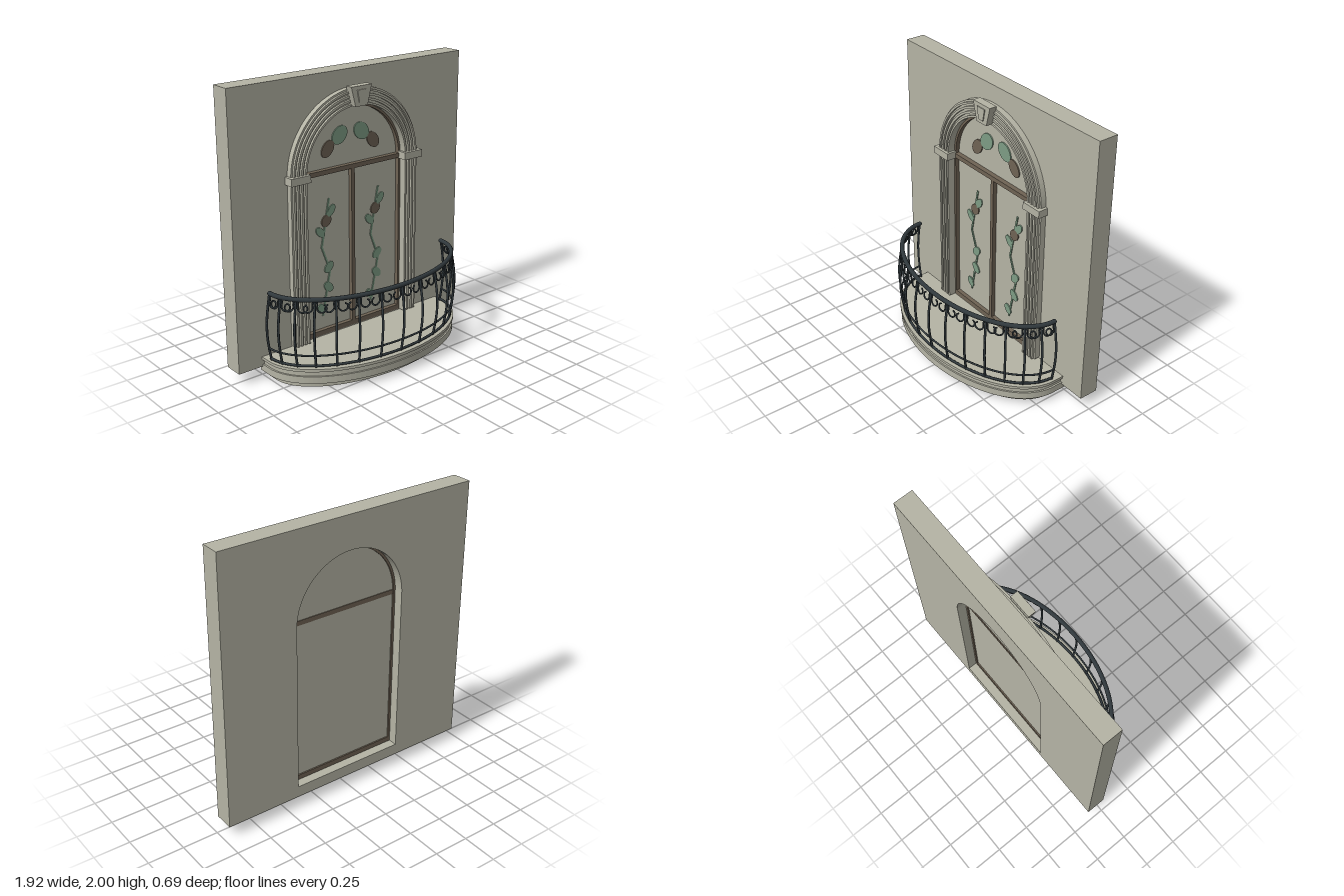
import * as THREE from 'three';

const mat = (name, color) => {
  const m = new THREE.MeshStandardMaterial({ color });
  m.name = name;
  return m;
};

export function createModel() {
  const stone = mat('stone', 0xb5b4a5);
  const wood = mat('wood', 0x6f6354);
  const leafGreen = mat('leaf green', 0x7d9c84);
  const iron = mat('wrought iron', 0x30383c);

  const model = new THREE.Group();
  model.name = 'balconyWindow';
  const group = (name) => {
    const g = new THREE.Group();
    g.name = name;
    model.add(g);
    return g;
  };
  const add = (parent, name, geo, material, x = 0, y = 0, z = 0) => {
    const m = new THREE.Mesh(geo, material);
    m.name = name;
    m.position.set(x, y, z);
    parent.add(m);
    return m;
  };
  const extrude = (shape, depth) =>
    new THREE.ExtrudeGeometry(shape, { depth, bevelEnabled: false, curveSegments: 32 });
  // Box given by its two extreme corners
  const box = (parent, name, material, x0, x1, y0, y1, z0, z1) =>
    add(parent, name, new THREE.BoxGeometry(x1 - x0, y1 - y0, z1 - z0), material,
      (x0 + x1) / 2, (y0 + y1) / 2, (z0 + z1) / 2);

  const BACK = -0.345, SPRING = 1.345, SILL = 0.165;

  // Round-topped outline, and an upside-down U band between two radii
  const arch = (r, path = new THREE.Shape()) => {
    path.moveTo(-r, SILL);
    path.lineTo(r, SILL);
    path.lineTo(r, SPRING);
    path.absarc(0, SPRING, r, 0, Math.PI, false);
    path.lineTo(-r, SILL);
    return path;
  };
  const band = (r0, r1) => {
    const s = new THREE.Shape();
    s.moveTo(r0, SILL);
    s.lineTo(r1, SILL);
    s.lineTo(r1, SPRING);
    s.absarc(0, SPRING, r1, 0, Math.PI, false);
    s.lineTo(-r1, SILL);
    s.lineTo(-r0, SILL);
    s.lineTo(-r0, SPRING);
    s.absarc(0, SPRING, r0, Math.PI, 0, true);
    s.lineTo(r0, SILL);
    return s;
  };

  // Wall with arched opening
  const wallShape = new THREE.Shape();
  wallShape.moveTo(-0.96, 0.085);
  wallShape.lineTo(0.96, 0.085);
  wallShape.lineTo(0.96, 2);
  wallShape.lineTo(-0.96, 2);
  wallShape.closePath();
  wallShape.holes.push(arch(0.535, new THREE.Path()));
  add(model, 'wall', extrude(wallShape, 0.14), stone, 0, 0, BACK);

  // Reeded casing: a deep band with alternating ridges on its face
  const casing = group('casing');
  add(casing, 'casingBody', extrude(band(0.418, 0.535), 0.18), stone, 0, 0, BACK);
  [[0.418, 0.432], [0.447, 0.463], [0.478, 0.494], [0.508, 0.522]].forEach(([r0, r1]) =>
    add(casing, 'casingReed', extrude(band(r0, r1), 0.017), stone, 0, 0, -0.165));
  for (const s of [-1, 1]) {
    const block = box(casing, 'impost', stone, -0.0775, 0.0775, 1.315, 1.367, -0.2, -0.128);
    block.position.x = s * 0.4775;
  }

  // Keystone with a raised panel
  const wedge = (bottom, top, y0, y1) => new THREE.Shape([
    new THREE.Vector2(-bottom, y0), new THREE.Vector2(bottom, y0),
    new THREE.Vector2(top, y1), new THREE.Vector2(-top, y1)]);
  add(casing, 'keystone', extrude(wedge(0.05, 0.085, 1.765, 1.9), 0.055), stone, 0, 0, -0.16);
  add(casing, 'keystonePanel', extrude(wedge(0.022, 0.038, 1.79, 1.875), 0.007), stone, 0, 0, -0.105);

  // Window: pane, frame, transom and mullion
  const win = group('window');
  add(win, 'pane', extrude(arch(0.41), 0.04), stone, 0, 0, -0.27);
  add(win, 'frame', extrude(band(0.402, 0.42), 0.08), wood, 0, 0, -0.28);
  box(win, 'transom', wood, -0.405, 0.405, 1.32, 1.352, -0.275, -0.195);
  box(win, 'mullion', wood, -0.014, 0.014, 0.18, 1.325, -0.24, -0.2);
  box(win, 'bottomRail', wood, -0.42, 0.42, SILL, 0.2, -0.28, -0.2);

  // Painted sprigs on the pane
  const PANE = -0.23;
  const leaf = (parent, material, x, y, rx, ry, angle) => {
    const s = new THREE.Shape();
    s.absellipse(0, 0, rx, ry, 0, Math.PI * 2, false, 0);
    add(parent, 'leaf', extrude(s, 0.008), material, x, y, PANE).rotation.z = angle;
  };
  const fan = group('fanlightLeaves');
  for (const s of [-1, 1]) {
    leaf(fan, leafGreen, s * 0.092, 1.56, 0.07, 0.055, -s * 0.75);
    leaf(fan, wood, s * 0.192, 1.482, 0.064, 0.044, -s * 0.9);
  }
  const stem = [[-0.187, 1.135], [-0.252, 0.8], [-0.185, 0.62], [-0.25, 0.3]];
  for (const dx of [0, 0.425]) {
    const sprig = group('sprig');
    sprig.position.x = dx;
    for (let i = 0; i < 3; i++) {
      const [x0, y0] = stem[i], [x1, y1] = stem[i + 1];
      const len = Math.hypot(x1 - x0, y1 - y0);
      add(sprig, 'stem', new THREE.BoxGeometry(0.013, len + 0.01, 0.008), leafGreen,
        (x0 + x1) / 2, (y0 + y1) / 2, PANE + 0.003).rotation.z = Math.atan2(x0 - x1, y1 - y0) + Math.PI;
    }
    leaf(sprig, leafGreen, -0.17, 1.05, 0.046, 0.026, 0.95);
    leaf(sprig, wood, -0.212, 0.985, 0.044, 0.038, 0.9);
    leaf(sprig, leafGreen, -0.263, 0.912, 0.046, 0.027, -0.85);
    leaf(sprig, leafGreen, -0.195, 0.645, 0.045, 0.03, 0.8);
    leaf(sprig, leafGreen, -0.2, 0.5, 0.045, 0.03, -0.8);
    leaf(sprig, leafGreen, -0.26, 0.35, 0.04, 0.028, -0.9);
  }

  // Half-elliptical stone balcony in stacked tiers
  const CZ = -0.125;
  const balcony = group('balconySlab');
  const tier = (name, rx, front, back, y0, y1) => {
    const s = new THREE.Shape();
    s.moveTo(-rx, back);
    s.lineTo(rx, back);
    s.lineTo(rx, CZ);
    s.absellipse(0, CZ, rx, front - CZ, 0, Math.PI, false, 0);
    s.lineTo(-rx, back);
    add(balcony, name, extrude(s, y1 - y0), stone, 0, y1, 0).rotation.x = Math.PI / 2;
  };
  tier('baseTier', 0.722, 0.275, -0.235, 0, 0.05);
  tier('lowerTier', 0.772, 0.335, -0.235, 0.05, 0.085);
  tier('lowerTierTop', 0.772, 0.335, -0.205, 0.085, 0.1);
  tier('middleTier', 0.76, 0.325, -0.205, 0.1, 0.137);
  tier('topTier', 0.778, 0.342, -0.205, 0.137, 0.157);

  // Railing: points lie on an ellipse, pushed outward by d
  const railing = group('railing');
  const at = (t, y, d = 0) =>
    new THREE.Vector3((0.755 + d) * Math.sin(t), y, CZ + (0.437 + d) * Math.cos(t));
  const tube = (name, pts, segs, r, sides) => {
    add(railing, name, new THREE.TubeGeometry(new THREE.CatmullRomCurve3(pts), segs, r, sides), iron);
    for (const p of [pts[0], pts[pts.length - 1]])
      add(railing, name + 'End', new THREE.SphereGeometry(r, sides, 6), iron, p.x, p.y, p.z);
  };
  const sweep = (y, d) => Array.from({ length: 41 }, (_, i) => at((i / 40 - 0.5) * Math.PI, y, d));
  tube('handrail', sweep(0.638, -0.003), 96, 0.016, 10);
  tube('bottomRail', sweep(0.172, 0.002), 96, 0.009, 8);
  tube('lowerRail', sweep(0.25, 0.014), 96, 0.007, 8);

  // Bellied balusters, each flanked by curled scrolls
  const N = 14, STEP = Math.PI / N;
  const bulge = (y) => 0.028 * Math.sin(Math.PI * THREE.MathUtils.clamp((y - 0.165) / 0.46, 0, 1));
  for (let i = 0; i <= N; i++) {
    const t = (i - N / 2) * STEP;
    const ys = [0.165, 0.24, 0.32, 0.4, 0.48, 0.56, 0.63];
    tube('baluster', ys.map((y) => at(t, y, bulge(y))), 16, 0.0085, 6);
    const speed = Math.hypot(0.755 * Math.cos(t), 0.437 * Math.sin(t));
    for (const s of [-1, 1]) {
      if ((i === 0 && s < 0) || (i === N && s > 0)) continue;
      const pts = [];
      for (let k = 0; k <= 12; k++) {
        const a = Math.PI * 0.85 + (k / 12) * Math.PI * 1.5;
        const r = 0.038 - 0.018 * (k / 12);
        const u = 0.05 + r * Math.cos(a), y = 0.585 + r * Math.sin(a);
        pts.push(at(t + s * Math.min(u / speed, u * 2.1), y, bulge(y)));
      }
      pts.unshift(at(t + s * 0.012 / speed, 0.628, 0));
      tube('scroll', pts, 24, 0.006, 5);
    }
  }
  return model;
}
